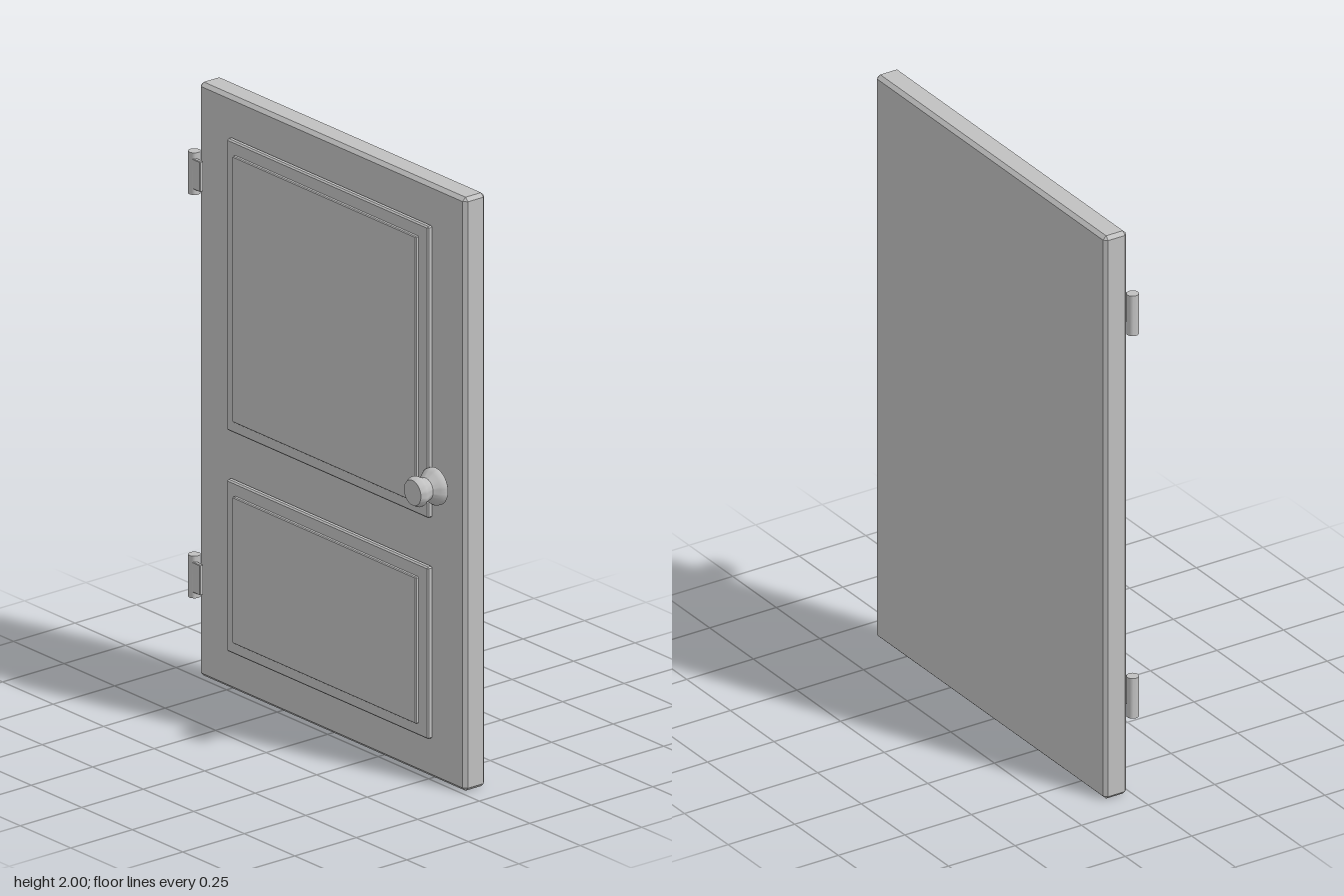
import * as THREE from 'three';
import { ConvexGeometry } from 'three/addons/geometries/ConvexGeometry.js';
import { toCreasedNormals } from 'three/addons/utils/BufferGeometryUtils.js';

const grey = new THREE.MeshStandardMaterial({ color: 0xc0c0c0 });
grey.name = 'grey';

// Box with every edge chamfered by c, given by its limits on each axis
function chamferedBox(name, [x0, x1], [y0, y1], [z0, z1], c) {
  const half = [(x1 - x0) / 2, (y1 - y0) / 2, (z1 - z0) / 2];
  const points = [];
  for (let axis = 0; axis < 3; axis++) {
    for (const sx of [-1, 1]) for (const sy of [-1, 1]) for (const sz of [-1, 1]) {
      const [x, y, z] = half.map((h, i) => (i === axis ? h : h - c));
      points.push(new THREE.Vector3(sx * x, sy * y, sz * z));
    }
  }
  const mesh = new THREE.Mesh(new ConvexGeometry(points), grey);
  mesh.name = name;
  mesh.position.set((x0 + x1) / 2, (y0 + y1) / 2, (z0 + z1) / 2);
  return mesh;
}

// Two-step raised panel on the front of the door
function raisedPanel(name, y0, y1) {
  const group = new THREE.Group();
  group.name = name;
  group.add(
    chamferedBox('panelFrame', [-0.491, 0.506], [y0, y1], [-0.013, 0.008], 0.005),
    chamferedBox('panelField', [-0.447, 0.462], [y0 + 0.043, y1 - 0.043], [0.007, 0.021], 0.003)
  );
  return group;
}

// Barrel and leaf, centred at height y
function hinge(name, y) {
  const group = new THREE.Group();
  group.name = name;
  const barrel = new THREE.Mesh(
    toCreasedNormals(new THREE.CylinderGeometry(0.02, 0.02, 0.142, 24), 0.6), grey);
  barrel.name = 'hingeBarrel';
  barrel.position.set(-0.652, 0, 0.006);
  const leaf = chamferedBox('hingeLeaf', [-0.65, -0.603], [-0.051, 0.051], [0.009, 0.023], 0.002);
  group.add(barrel, leaf);
  group.position.y = y;
  return group;
}

// Waisted round knob, turned to point forward
function knob() {
  const profile = [
    [0, 0], [0.056, 0], [0.062, 0.005], [0.061, 0.016], [0.053, 0.027], [0.042, 0.038],
    [0.037, 0.045], [0.038, 0.052], [0.045, 0.067], [0.05, 0.077], [0.05, 0.084],
    [0.042, 0.099], [0, 0.099]
  ].map(([r, h]) => new THREE.Vector2(r, h));
  const mesh = new THREE.Mesh(toCreasedNormals(new THREE.LatheGeometry(profile, 40), 0.6), grey);
  mesh.name = 'knob';
  mesh.rotation.x = Math.PI / 2;
  mesh.position.set(0.54, 1, 0);
  return mesh;
}

export function createModel() {
  const door = new THREE.Group();
  door.name = 'door';
  door.add(
    chamferedBox('doorSlab', [-0.654, 0.665], [0, 2], [-0.099, -0.012], 0.012),
    raisedPanel('upperPanel', 0.88, 1.863),
    raisedPanel('lowerPanel', 0.135, 0.715),
    hinge('upperHinge', 1.702),
    hinge('lowerHinge', 0.343),
    knob()
  );
  return door;
}
